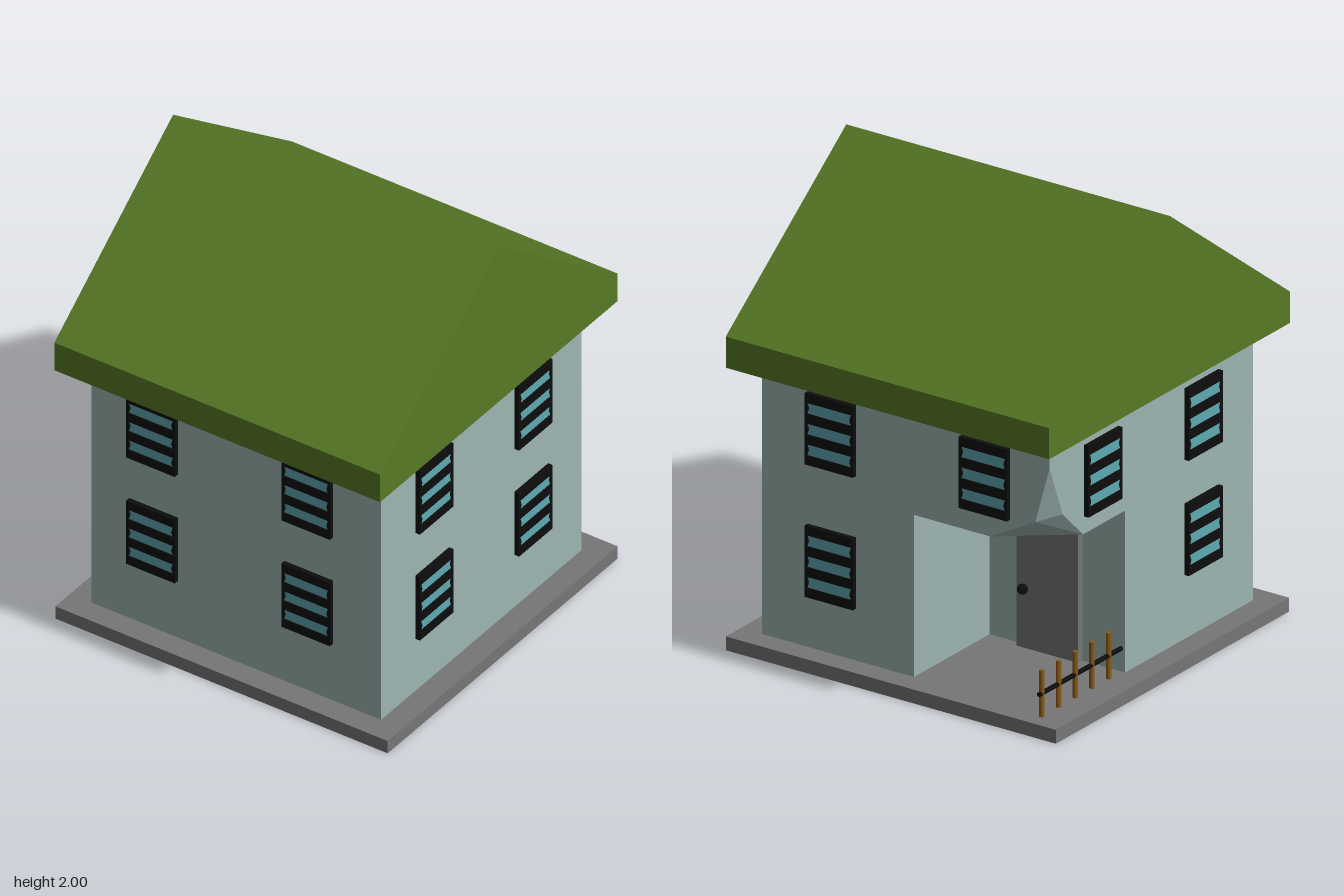
import * as THREE from 'three';

const mat = (name, color, side = THREE.FrontSide) => {
  const m = new THREE.MeshStandardMaterial({ color, side });
  m.name = name;
  return m;
};

export function createModel() {
  const house = new THREE.Group();
  house.name = 'house';
  const plaster = mat('plaster', 0x9db5b2, THREE.DoubleSide);
  const roofGreen = mat('roofGreen', 0x587a26);
  const stone = mat('stone', 0x767676);
  const black = mat('black', 0x0d0d0d);
  const glass = mat('glass', 0x5ea9b2);
  const wood = mat('wood', 0x8a5a12);

  const add = (name, geo, material, x = 0, y = 0, z = 0, parent = house) => {
    const m = new THREE.Mesh(geo, material);
    m.name = name;
    m.position.set(x, y, z);
    parent.add(m);
    return m;
  };
  const outline = pts => new THREE.Shape(pts.map(p => new THREE.Vector2(...p)));

  // Convex flat panel from its corners, counter-clockwise from outside
  const panel = (name, pts) => {
    const pos = [];
    for (let i = 1; i < pts.length - 1; i++) pos.push(...pts[0], ...pts[i], ...pts[i + 1]);
    const g = new THREE.BufferGeometry();
    g.setAttribute('position', new THREE.Float32BufferAttribute(pos, 3));
    g.computeVertexNormals();
    add(name, g, plaster);
  };

  // Base slab
  add('base', new THREE.BoxGeometry(1.607, 0.06, 1.607), stone, 0, 0.03, 0);

  // Gabled roof with deep eaves
  const roofShape = outline([[-0.83, 1.24], [0.83, 1.24], [0.83, 1.375], [0, 2], [-0.83, 1.375]]);
  const roofGeo = new THREE.ExtrudeGeometry(roofShape, { depth: 1.575, bevelEnabled: false });
  roofGeo.rotateY(Math.PI / 2);
  add('roof', roofGeo, roofGreen, -0.79, 0, 0);

  // One group per side: local x runs along the wall, local z points outward
  const W = 0.7, floor = 0.06, top = 1.25;
  const side = (name, angle) => {
    const g = new THREE.Group();
    g.name = name;
    g.rotation.y = angle;
    house.add(g);
    return g;
  };
  const front = side('frontSide', 0);
  const left = side('leftSide', Math.PI / 2);
  const back = side('backSide', Math.PI);
  const right = side('rightSide', -Math.PI / 2);
  const wall = (parent, pts) =>
    add('wall', new THREE.ShapeGeometry(outline(pts)), plaster, 0, 0, W, parent);

  const full = [[-W, floor], [W, floor], [W, top], [-W, top]];
  wall(front, full);
  wall(left, full);

  // Porch cut into the back corner, its opening rising to a point at the corner
  const px = -0.04, pz = -0.18, ceil = 0.763;
  const backEdge = [[-0.41, ceil], [-0.63, 0.88], [-W, 1.13]];
  const sideEdge = [[-0.47, ceil], [-0.61, 0.9], [-W, 1.13]];
  wall(back, [[-W, floor], [-px, floor], [-px, ceil], ...backEdge.map(([x, y]) => [-x, y]), [W, top], [-W, top]]);
  wall(right, [[pz, floor], [W, floor], [W, top], [-W, top], ...[...sideEdge].reverse(), [pz, ceil]]);

  panel('porchSideWall', [[px, floor, -W], [px, floor, pz], [px, ceil, pz], [px, ceil, -W]]);
  panel('porchBackWall', [[px, floor, pz], [-W, floor, pz], [-W, ceil, pz], [px, ceil, pz]]);
  const B = backEdge.map(([x, y]) => [x, y, -W]);
  const S = sideEdge.map(([z, y]) => [-W, y, z]);
  panel('porchCeiling', [[px, ceil, pz], [-W, ceil, pz], S[0], B[0], [px, ceil, -W]]);
  panel('porchCeilingSlope', [S[0], S[1], B[1], B[0]]);
  panel('porchCeilingPoint', [S[1], S[2], B[1]]);

  // Windows: frame with three slots and glass set just behind its face
  const w = 0.235, h = 0.31;
  const frameShape = outline([[-w / 2, -h / 2], [w / 2, -h / 2], [w / 2, h / 2], [-w / 2, h / 2]]);
  for (const y of [-0.09, 0, 0.09]) {
    const a = 0.108, b = 0.024, n = 0.008;
    frameShape.holes.push(new THREE.Path([
      [-a, y - b], [-a + n, y], [-a, y + b], [a, y + b], [a - n, y], [a, y - b],
    ].map(p => new THREE.Vector2(...p))));
  }
  const frameGeo = new THREE.ExtrudeGeometry(frameShape, { depth: 0.022, bevelEnabled: false });
  const glassGeo = new THREE.BoxGeometry(w - 0.01, h - 0.02, 0.008);
  const addWindow = (parent, u, y) => {
    const g = new THREE.Group();
    g.name = 'window';
    g.position.set(u, y, W);
    parent.add(g);
    add('windowFrame', frameGeo, black, 0, 0, 0, g);
    add('windowGlass', glassGeo, glass, 0, 0, 0.012, g);
  };
  for (const [parent, us, ys] of [
    [front, [-0.4, 0.35], [0.493, 1.015]],
    [left, [-0.343, 0.35], [0.47, 0.99]],
  ]) for (const u of us) for (const y of ys) addWindow(parent, u, y);
  addWindow(back, -0.36, 0.44);
  addWindow(back, -0.36, 1.015);
  addWindow(back, 0.39, 1.015);
  addWindow(right, 0.345, 0.493);
  addWindow(right, 0.345, 0.993);
  addWindow(right, -0.345, 0.993);

  // Porch door and knob
  add('door', new THREE.BoxGeometry(0.3, 0.575, 0.03), stone, -0.342, 0.3475, pz - 0.015);
  add('doorKnob', new THREE.SphereGeometry(0.022, 16, 12), black, -0.232, 0.32, pz - 0.045);

  // Fence beside the porch
  const postGeo = new THREE.CylinderGeometry(0.011, 0.011, 0.2, 12);
  for (let i = 0; i < 5; i++) add('fencePost', postGeo, wood, -0.68, 0.16, -0.725 + i * 0.115);
  const railGeo = new THREE.CylinderGeometry(0.01, 0.01, 0.585, 12);
  railGeo.rotateX(Math.PI / 2);
  add('fenceRail', railGeo, black, -0.68, 0.16, -0.4525);

  return house;
}
